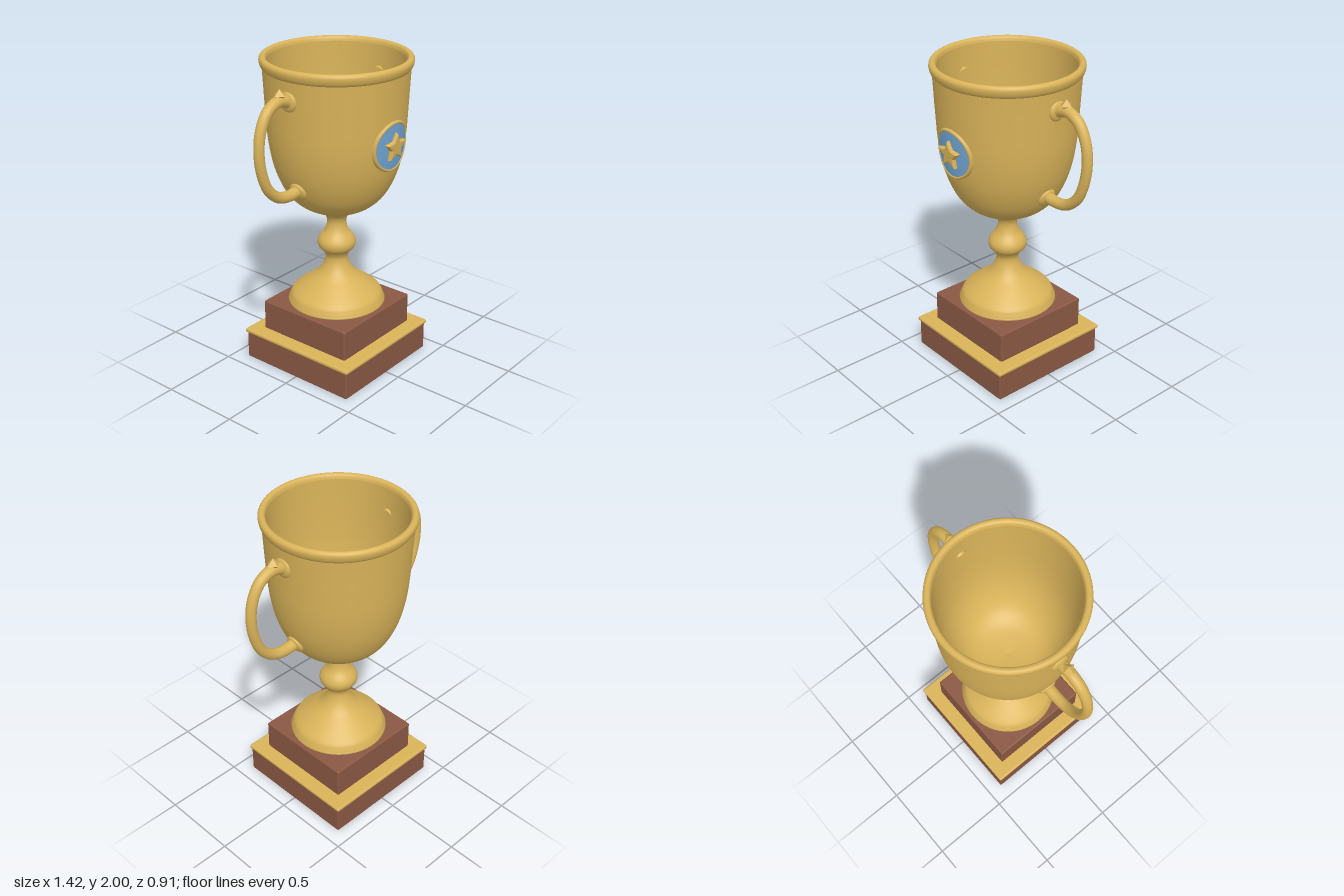
import * as THREE from 'three';
import { RoundedBoxGeometry } from 'three/addons/geometries/RoundedBoxGeometry.js';

const material = (name, color) => {
  const m = new THREE.MeshStandardMaterial({ color });
  m.name = name;
  return m;
};
const v2 = ([x, y]) => new THREE.Vector2(x, y);
const smooth = (pts, n) => new THREE.SplineCurve(pts.map(v2)).getPoints(n);

export function createModel() {
  const gold = material('gold', 0xd9b359);
  const wood = material('brown wood', 0x8a5843);
  const blue = material('blue enamel', 0x70a5d2);
  const trophy = new THREE.Group();
  trophy.name = 'trophy';

  const add = (name, geometry, mat, parent = trophy) => {
    const mesh = new THREE.Mesh(geometry, mat);
    mesh.name = name;
    parent.add(mesh);
    return mesh;
  };

  // Stepped plinth with a gold band
  const slab = (name, width, y0, y1, round, mat) => {
    add(name, new RoundedBoxGeometry(width, y1 - y0, width, 3, round), mat).position.y = (y0 + y1) / 2;
  };
  slab('lowerPlinth', 0.816, 0, 0.185, 0.01, wood);
  slab('plinthBand', 0.836, 0.178, 0.206, 0.012, gold);
  slab('upperPlinth', 0.656, 0.2, 0.4, 0.01, wood);

  // Foot, knopped stem and outside of the bowl
  const outside = smooth([
    [0.302, 0.415], [0.295, 0.435], [0.275, 0.47], [0.2, 0.53], [0.125, 0.588], [0.085, 0.645],
    [0.07, 0.7], [0.085, 0.74], [0.112, 0.77], [0.12, 0.805], [0.107, 0.84], [0.077, 0.88],
    [0.062, 0.92], [0.061, 0.955], [0.078, 0.99], [0.12, 1.02], [0.18, 1.047], [0.235, 1.08],
    [0.292, 1.135], [0.338, 1.21], [0.377, 1.31], [0.402, 1.42], [0.417, 1.54], [0.425, 1.68],
    [0.432, 1.82], [0.438, 1.935],
  ], 110);
  add('footStemAndBowl', new THREE.LatheGeometry([v2([0, 0.4]), v2([0.3, 0.4]), v2([0.308, 0.407]), ...outside], 72), gold);

  // Rolled lip
  const lip = smooth([[0.434, 1.925], [0.447, 1.94], [0.455, 1.965], [0.454, 1.985], [0.442, 1.998],
    [0.428, 1.998], [0.416, 1.99], [0.41, 1.97]], 20);
  add('lip', new THREE.LatheGeometry(lip, 72), gold);

  // Inside of the bowl, drawn from the lip down to the floor
  const inside = smooth([[0.41, 1.97], [0.408, 1.8], [0.402, 1.62], [0.392, 1.5], [0.375, 1.39], [0.345, 1.29],
    [0.3, 1.2], [0.24, 1.13], [0.15, 1.085], [0, 1.065]], 40);
  add('bowlInside', new THREE.LatheGeometry(inside, 72), gold);

  // Handles: tapered tube, wall rosettes and a pointed finial
  const path = new THREE.CatmullRomCurve3([
    [0.41, 1.8], [0.46, 1.823], [0.52, 1.832], [0.6, 1.795], [0.658, 1.7], [0.677, 1.58],
    [0.66, 1.45], [0.61, 1.335], [0.53, 1.265], [0.45, 1.245], [0.36, 1.25],
  ].map(([x, y]) => new THREE.Vector3(x, y, 0)));
  const rings = 64, sides = 16;
  const tube = new THREE.TubeGeometry(path, rings, 0.031, sides);
  const p = new THREE.Vector3();
  for (let i = 0; i <= rings; i++) {
    const centre = path.getPointAt(i / rings);
    const grow = 1 + 0.18 * Math.abs(2 * i / rings - 1) ** 2;
    for (let j = 0; j <= sides; j++) {
      const k = i * (sides + 1) + j;
      p.fromBufferAttribute(tube.attributes.position, k).sub(centre).multiplyScalar(grow).add(centre);
      tube.attributes.position.setXYZ(k, p.x, p.y, p.z);
    }
  }
  const rosette = new THREE.SphereGeometry(0.06, 24, 14).scale(0.38, 1, 1);
  const finial = new THREE.OctahedronGeometry(0.042).scale(1, 0.9, 0.9);
  for (const [name, turn] of [['leftHandle', 0], ['rightHandle', Math.PI]]) {
    const handle = new THREE.Group();
    handle.name = name;
    handle.rotation.y = turn;
    add('handleTube', tube, gold, handle);
    add('upperRosette', rosette, gold, handle).position.set(0.43, 1.812, 0);
    const low = add('lowerRosette', rosette, gold, handle);
    low.position.set(0.356, 1.243, 0);
    low.rotation.z = -0.38;
    add('finial', finial, gold, handle).position.set(0.5, 1.866, 0);
    trophy.add(handle);
  }

  // Front medallion, curved to follow the bowl
  const medallion = new THREE.Group();
  medallion.name = 'medallion';
  medallion.position.set(0, 1.525, 0.415);
  medallion.rotation.x = 0.06;
  trophy.add(medallion);
  const bend = (g) => {
    const a = g.attributes.position;
    for (let i = 0; i < a.count; i++) a.setZ(i, a.getZ(i) - a.getX(i) ** 2 / 0.84);
    g.computeVertexNormals();
    return g;
  };
  const disc = (pts) => bend(new THREE.LatheGeometry(pts.map(v2), 48).rotateX(Math.PI / 2));
  add('medallionRim', disc([[0.155, -0.012], [0.156, 0.004], [0.152, 0.013], [0.146, 0.016], [0.14, 0.014], [0.137, 0.008]]), gold);
  add('medallionFace', disc([[0.14, 0.011], [0.1, 0.013], [0.05, 0.014], [0, 0.014]]), blue);
  medallion.add(trophy.getObjectByName('medallionRim'), trophy.getObjectByName('medallionFace'));

  // Raised star with softened edges
  const star = new THREE.Shape(Array.from({ length: 10 }, (_, i) => {
    const a = Math.PI / 2 + i * Math.PI / 5;
    const r = i % 2 ? 0.034 : 0.074;
    return v2([r * Math.cos(a), r * Math.sin(a)]);
  }));
  const starGeometry = new THREE.ExtrudeGeometry(star, {
    depth: 0.008, bevelEnabled: true, bevelSize: 0.011, bevelThickness: 0.014, bevelSegments: 4,
  });
  add('star', starGeometry, gold, medallion).position.z = 0.014;

  return trophy;
}
